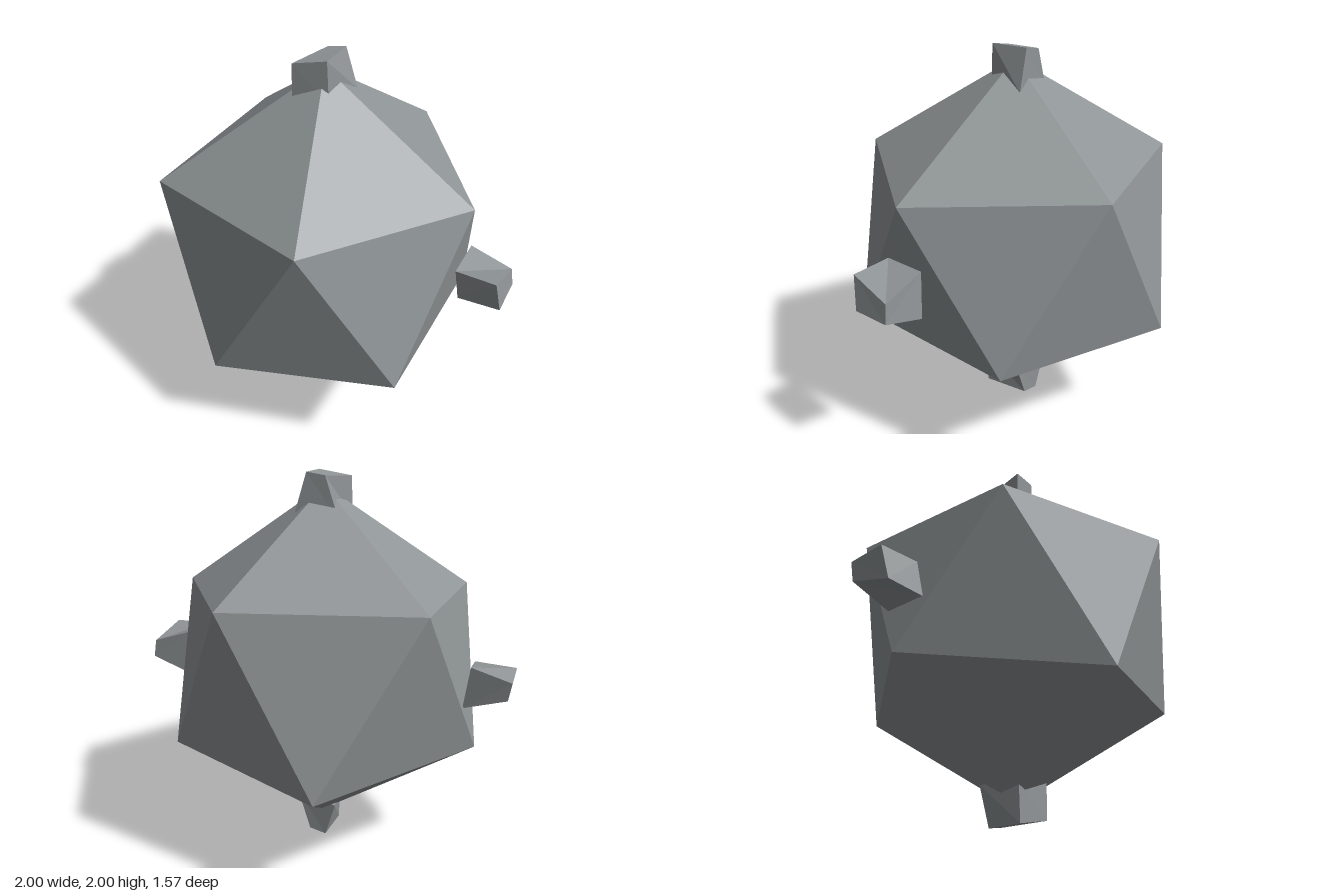
import * as THREE from 'three';

// Flat-shaded faceted geometry from a list of corners and triangles
function faceted(points, faces) {
  const geometry = new THREE.BufferGeometry();
  const coords = faces.flatMap((face) => face.flatMap((i) => points[i]));
  geometry.setAttribute('position', new THREE.Float32BufferAttribute(coords, 3));
  geometry.computeVertexNormals();
  return geometry;
}

// Irregular icosahedron: two poles and two staggered rings of five
function rockGeometry() {
  const upper = [[0.79, 1.4, 0.02], [0.24, 1.445, -0.74], [-0.66, 1.44, -0.47], [-0.66, 1.385, 0.5], [0.28, 1.435, 0.78]];
  const lower = [[0.655, 0.625, -0.46], [-0.24, 0.605, -0.785], [-0.83, 0.63, 0.02], [-0.22, 0.56, 0.77], [0.66, 0.625, 0.52]];
  const points = [...upper, ...lower, [0, 1.93, 0.01], [0, 0.095, 0]];
  const faces = [];
  for (let i = 0; i < 5; i++) {
    const j = (i + 1) % 5;
    faces.push([10, i, j], [i, 5 + i, j], [5 + i, 5 + j, j], [11, 5 + j, 5 + i]);
  }
  return faceted(points, faces);
}

// Skewed block pointing up from the centre: outer four corners, then inner four
function studGeometry() {
  const points = [
    [-0.105, 0.97, 0.13], [0.06, 1.0, 0.1], [0.05, 1.0, -0.105], [-0.045, 0.985, -0.1],
    [-0.11, 0.77, 0.13], [0.07, 0.79, 0.1], [0.11, 0.8, -0.115], [-0.115, 0.77, -0.095],
  ];
  const faces = [[0, 1, 2], [0, 2, 3], [4, 6, 5], [4, 7, 6]];
  for (let i = 0; i < 4; i++) {
    const j = (i + 1) % 4;
    faces.push([i, 4 + i, 4 + j], [i, 4 + j, j]);
  }
  return faceted(points, faces);
}

export function createModel() {
  const group = new THREE.Group();
  group.name = 'spikedRock';
  const stone = new THREE.MeshStandardMaterial({ color: 0x8f9496 });
  stone.name = 'stone grey';
  stone.flatShading = true;

  const rock = new THREE.Mesh(rockGeometry(), stone);
  rock.name = 'rockBody';
  group.add(rock);

  // Four studs, a quarter turn apart around the front axis
  const stud = studGeometry();
  ['topStud', 'rightStud', 'bottomStud', 'leftStud'].forEach((name, i) => {
    const mesh = new THREE.Mesh(stud, stone);
    mesh.name = name;
    mesh.position.y = 1;
    mesh.rotation.z = (i * Math.PI) / 2;
    group.add(mesh);
  });
  return group;
}
